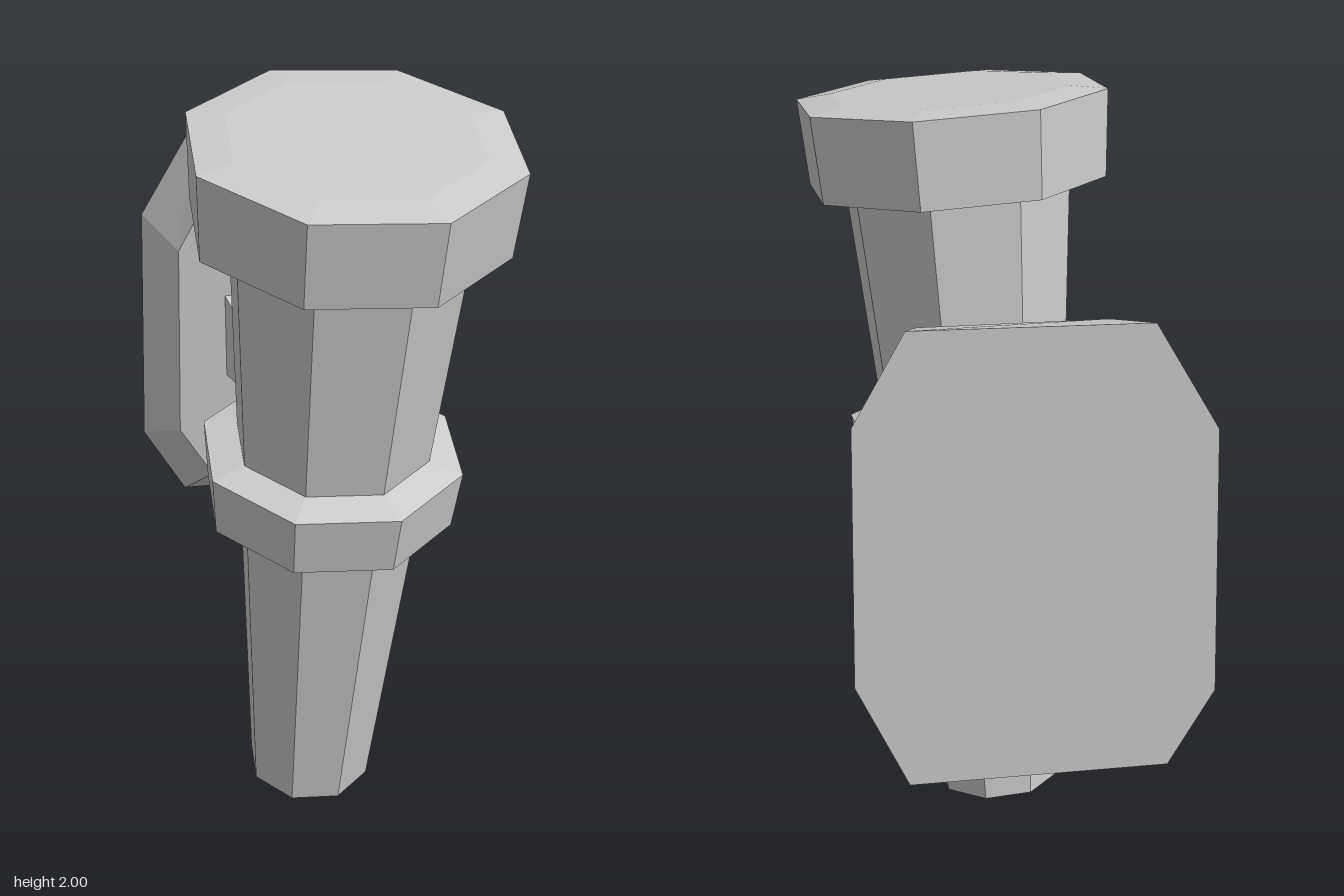
import * as THREE from 'three';

const material = () => new THREE.MeshStandardMaterial({ color: 0xcccccc, flatShading: true, side: THREE.DoubleSide });

function add(parent, name, geometry) {
  const mesh = new THREE.Mesh(geometry, material());
  mesh.name = name;
  parent.add(mesh);
}

// Octagonal turned part; profile lists [distance to flat side, height], bottom to top
function octagonal(profile) {
  const points = profile.map(([a, h]) => new THREE.Vector2(a / Math.cos(Math.PI / 8), h));
  return new THREE.LatheGeometry(points, 8, Math.PI / 8);
}

// Closed solid through cross-sections ordered back to front, each counter-clockwise from the front
function loft(sections) {
  const n = sections[0].length;
  const index = [];
  for (let s = 0; s < sections.length - 1; s++) {
    for (let i = 0; i < n; i++) {
      const a = s * n + i, b = s * n + (i + 1) % n;
      index.push(a, b, b + n, a, b + n, a + n);
    }
  }
  const last = (sections.length - 1) * n;
  for (let i = 1; i < n - 1; i++) {
    index.push(0, i + 1, i, last, last + i, last + i + 1);
  }
  const geometry = new THREE.BufferGeometry();
  geometry.setAttribute('position', new THREE.Float32BufferAttribute(sections.flat(2), 3));
  geometry.setIndex(index);
  const flat = geometry.toNonIndexed();
  flat.computeVertexNormals();
  return flat;
}

export function createModel() {
  const model = new THREE.Group();
  model.name = 'wallTorch';

  // Torch, leaning forward and slightly to its left
  const torch = new THREE.Group();
  torch.name = 'torch';
  const base = new THREE.Vector3(-0.058, 0.02, 0.093);
  const tip = new THREE.Vector3(0.033, 1.955, 0.3);
  const length = base.distanceTo(tip);
  torch.position.copy(base);
  torch.quaternion.setFromUnitVectors(new THREE.Vector3(0, 1, 0), tip.clone().sub(base).normalize());
  model.add(torch);

  add(torch, 'shaft', octagonal([[0, 0], [0.155, 0], [0.281, 1.73]]));
  add(torch, 'collar', octagonal([[0.218, 0.88], [0.302, 0.916], [0.317, 1.078], [0.232, 1.1]]));
  add(torch, 'head', octagonal([
    [0.278, 1.722], [0.369, 1.722], [0.384, length], [0.295, length + 0.012], [0, length + 0.012],
  ]));

  // Bracket arm from the wall plate to the collar
  const armSection = (x0, x1, y0, y1, z0, z1 = z0) =>
    [[x0, y0, z0], [x1, y0, z0], [x1, y1, z1], [x0, y1, z1]];
  add(model, 'bracketArm', loft([
    armSection(-0.22, 0.22, 0.97, 1.22, -0.465),
    armSection(-0.13, 0.11, 0.95, 1.09, -0.27),
    armSection(-0.14, 0.125, 0.96, 1.125, -0.08, -0.105),
  ]));

  // Wall plate, an uneven octagon narrowing to the front
  const outline = (points, z) => points.map(([x, y]) => [x, y, z]);
  add(model, 'wallPlate', loft([
    outline([[-0.335, 0.48], [0.315, 0.495], [0.445, 0.78], [0.437, 1.45],
      [0.31, 1.675], [-0.27, 1.655], [-0.43, 1.38], [-0.45, 0.68]], -0.68),
    outline([[-0.265, 0.65], [0.24, 0.66], [0.345, 0.88], [0.345, 1.42],
      [0.25, 1.6], [-0.215, 1.59], [-0.342, 1.36], [-0.355, 0.8]], -0.46),
  ]));

  return model;
}
